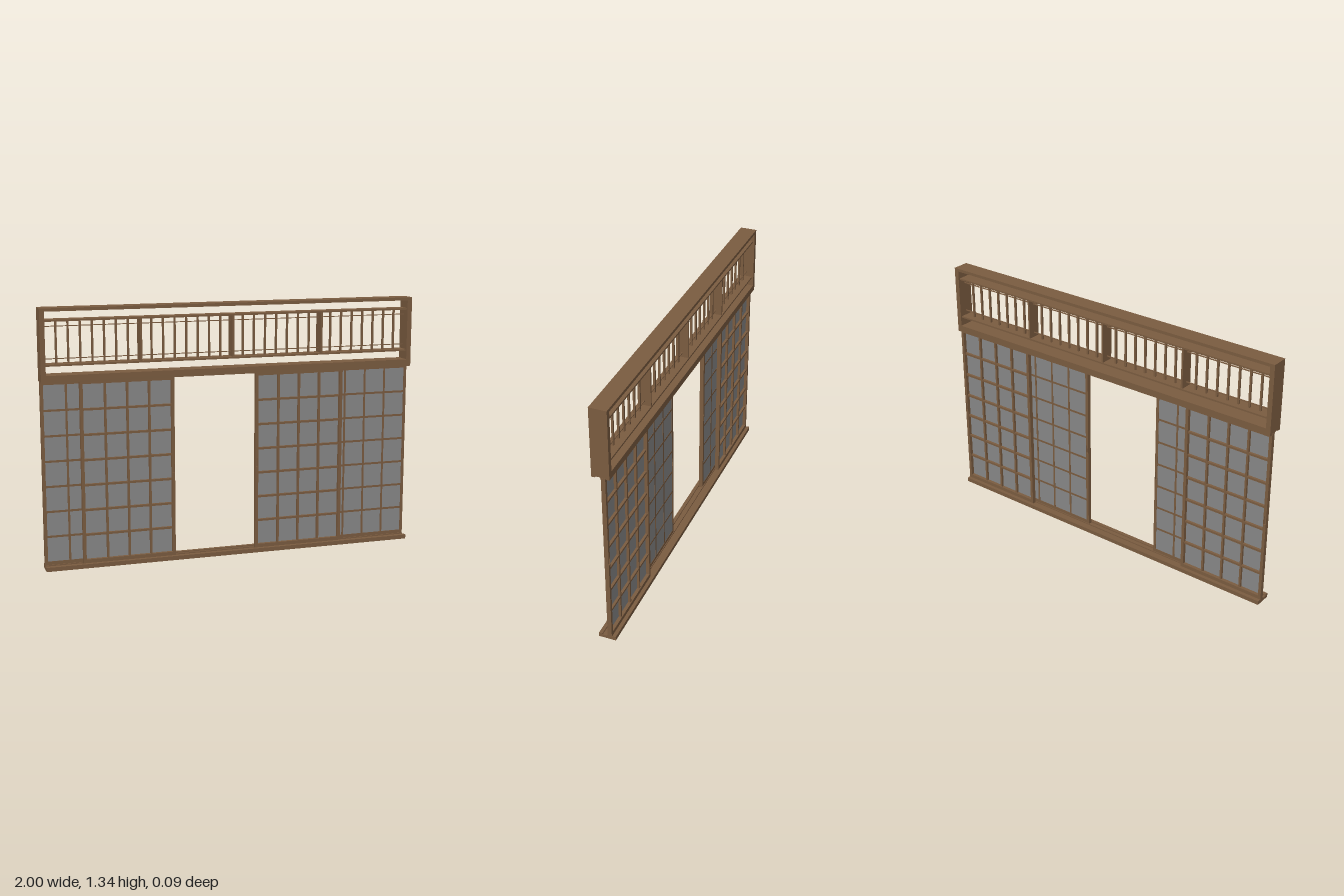
import * as THREE from 'three';

const wood = new THREE.MeshStandardMaterial({ color: 0x7b5c40 });
wood.name = 'brown wood';
const paper = new THREE.MeshStandardMaterial({ color: 0x888888 });
paper.name = 'grey paper';

// Box given by its min and max corners
function box(parent, name, mat, [x0, y0, z0], [x1, y1, z1]) {
  const mesh = new THREE.Mesh(new THREE.BoxGeometry(x1 - x0, y1 - y0, z1 - z0), mat);
  mesh.position.set((x0 + x1) / 2, (y0 + y1) / 2, (z0 + z1) / 2);
  mesh.name = name;
  parent.add(mesh);
  return mesh;
}

// Full-length beam with two sliding grooves in its upper face, from y = 0 to h
function groovedBeam(name, h) {
  const d = 0.006;
  const s = new THREE.Shape([
    [-0.045, 0], [0.045, 0], [0.045, h], [0.026, h], [0.026, h - d], [0.002, h - d], [0.002, h],
    [-0.002, h], [-0.002, h - d], [-0.026, h - d], [-0.026, h], [-0.045, h],
  ].map(([x, y]) => new THREE.Vector2(x, y)));
  const geo = new THREE.ExtrudeGeometry(s, { depth: 2, bevelEnabled: false });
  geo.translate(0, 0, -1).rotateY(Math.PI / 2);
  const mesh = new THREE.Mesh(geo, wood);
  mesh.name = name;
  return mesh;
}

const W = 0.49, BOTTOM = 0.016, TOP = 0.975, STILE = 0.016, T = 0.022;

// Stile with a recessed finger pull on both faces
function pullStile(parent, x) {
  const s = new THREE.Shape();
  s.moveTo(0, BOTTOM).lineTo(STILE, BOTTOM).lineTo(STILE, TOP).lineTo(0, TOP).closePath();
  const hole = new THREE.Path();
  hole.moveTo(0.003, 0.467).lineTo(0.003, 0.513).lineTo(0.013, 0.513).lineTo(0.013, 0.467).closePath();
  s.holes.push(hole);
  const mesh = new THREE.Mesh(new THREE.ExtrudeGeometry(s, { depth: T, bevelEnabled: false }), wood);
  mesh.position.x = x;
  mesh.name = 'pullStile';
  parent.add(mesh);
  box(parent, 'fingerPull', wood, [x + 0.003, 0.467, 0.008], [x + 0.013, 0.513, 0.014]);
}

// Lattice door: inner face at z = 0, outer face at z = T, x from 0 to W
function door(name, pullAtRight) {
  const g = new THREE.Group();
  g.name = name;
  const plainX = pullAtRight ? 0 : W - STILE;
  pullStile(g, pullAtRight ? W - STILE : 0);
  box(g, 'stile', wood, [plainX, BOTTOM, 0], [plainX + STILE, TOP, T]);
  const y0 = 0.04, y1 = 0.954, x0 = STILE, x1 = W - STILE;
  box(g, 'bottomRail', wood, [x0, BOTTOM, 0], [x1, y0, T]);
  box(g, 'topRail', wood, [x0, y1, 0], [x1, TOP, T]);
  box(g, 'paper', paper, [x0, y0, 0.002], [x1, y1, 0.004]);
  const b = 0.0055;
  for (let i = 1; i < 4; i++) {
    const x = x0 + (x1 - x0) * i / 4;
    box(g, 'verticalBar', wood, [x - b, y0, 0.001], [x + b, y1, 0.017]);
  }
  for (let j = 1; j < 7; j++) {
    const y = y0 + (y1 - y0) * j / 7;
    box(g, 'horizontalBar', wood, [x0, y - b, 0.0008], [x1, y + b, 0.0175]);
  }
  return g;
}

export function createModel() {
  const model = new THREE.Group();
  model.name = 'slidingScreenWall';

  // Sill and lintel
  model.add(groovedBeam('sill', 0.022));
  const lintel = groovedBeam('lintel', 0.036);
  lintel.rotation.x = Math.PI;
  lintel.position.y = 1.006;
  model.add(lintel);

  // Front doors beside the opening, back doors at the outer ends
  for (const [x, right] of [[-0.805, true], [0.125, false]]) {
    const d = door('frontDoor', right);
    d.position.set(x, 0, 0.002);
    model.add(d);
  }
  for (const [x, right] of [[-0.51, true], [1, false]]) {
    const d = door('backDoor', right);
    d.rotation.y = Math.PI;
    d.position.set(x, 0, -0.002);
    model.add(d);
  }

  // Transom frame
  const transom = new THREE.Group();
  transom.name = 'transom';
  model.add(transom);
  const X = 0.975;
  box(transom, 'topBeam', wood, [-1, 1.324, -0.045], [1, 1.34, 0.045]);
  for (const s of [-1, 1]) {
    const a = s < 0 ? -1 : X;
    box(transom, 'endPost', wood, [a, 1.006, -0.045], [a + 0.025, 1.324, 0.045]);
  }
  box(transom, 'upperShelf', wood, [-X, 1.273, -0.036], [X, 1.282, 0.036]);
  box(transom, 'lowerShelf', wood, [-X, 1.051, -0.036], [X, 1.06, 0.036]);

  // Thin cross rails
  for (const y of [1.085, 1.247]) {
    box(transom, 'crossRail', wood, [-X, y - 0.002, -0.003], [X, y + 0.002, 0.003]);
  }

  // Balusters, with a wide divider at every eighth place
  for (let i = 1; i < 32; i++) {
    const x = -X + i * 2 * X / 32, wide = i % 8 === 0;
    const h = 0.005, z = wide ? 0.034 : 0.005;
    box(transom, wide ? 'divider' : 'baluster', wood, [x - h, 1.06, -z], [x + h, 1.273, z]);
  }
  return model;
}
